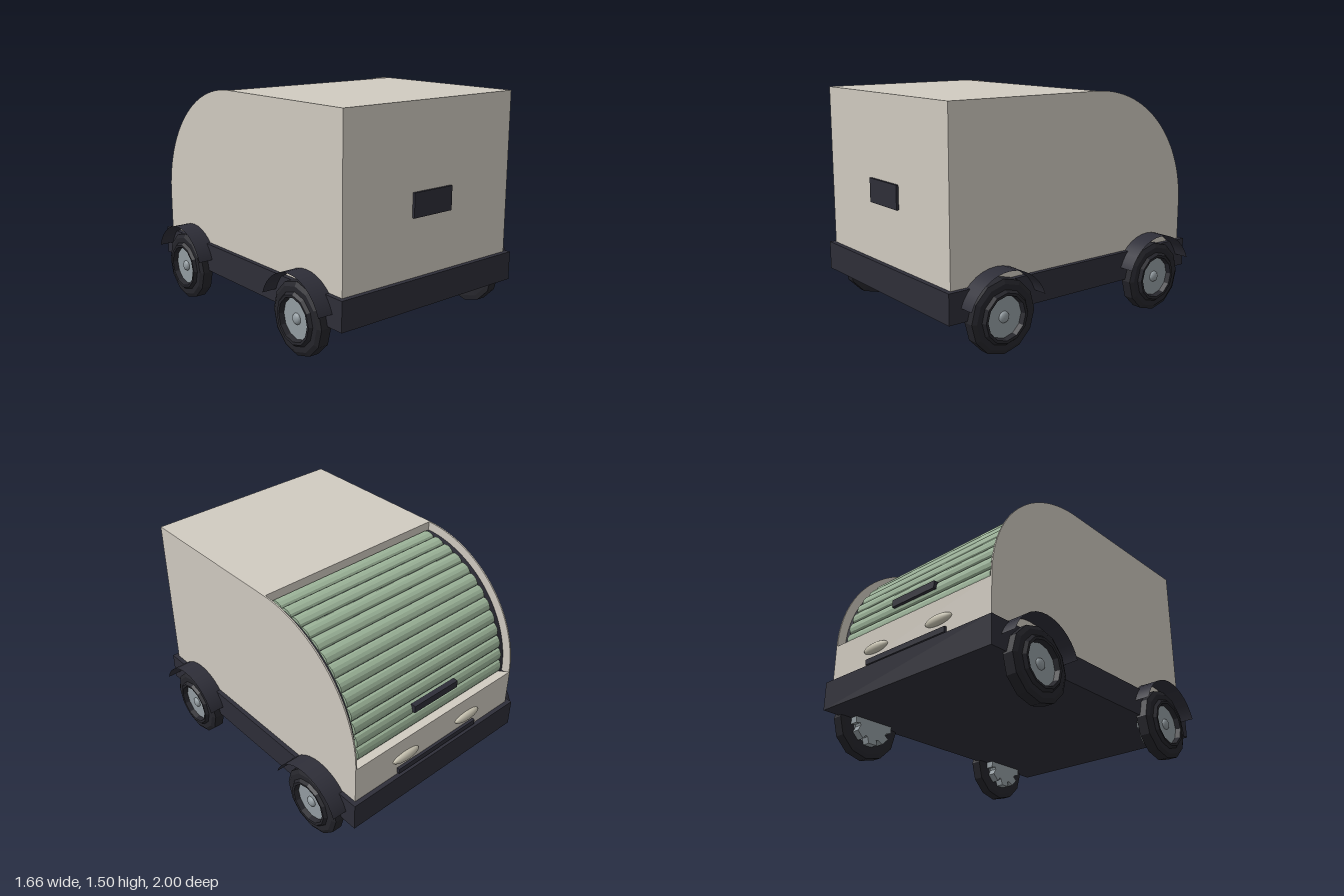
import * as THREE from 'three';

const mat = (name, color, side = THREE.FrontSide) => {
  const m = new THREE.MeshStandardMaterial({ color, side });
  m.name = name;
  return m;
};

export function createModel() {
  const cream = mat('cream', 0xd1cbc1);
  const dark = mat('charcoal', 0x2e2e38, THREE.DoubleSide);
  const tyreMat = mat('tyre black', 0x25252b);
  tyreMat.flatShading = true;
  const green = mat('sage green', 0x9cb499);
  const steel = mat('steel grey', 0x949da2);
  const lampMat = mat('lamp cream', 0xcbc6b4);

  const model = new THREE.Group();
  model.name = 'van';

  const add = (parent, name, geo, material, x = 0, y = 0, z = 0) => {
    const mesh = new THREE.Mesh(geo, material);
    mesh.name = name;
    mesh.position.set(x, y, z);
    parent.add(mesh);
    return mesh;
  };
  // box given by its min and max on each axis
  const box = (name, material, x0, x1, y0, y1, z0, z1) =>
    add(model, name, new THREE.BoxGeometry(x1 - x0, y1 - y0, z1 - z0), material,
      (x0 + x1) / 2, (y0 + y1) / 2, (z0 + z1) / 2);
  // extrude a (z, y) profile across x, from x0 to x1
  const across = (shape, x0, x1, curveSegments = 24) => {
    const g = new THREE.ExtrudeGeometry(shape, { depth: x1 - x0, bevelEnabled: false, curveSegments });
    g.rotateY(-Math.PI / 2);
    return g.translate(x1, 0, 0);
  };

  const CZ = -0.16, CY = 0.70, R = 0.805; // centre and radius of the rolled back

  // side outline with a quarter-round upper back corner
  const outline = (r, front) => {
    const s = new THREE.Shape();
    s.moveTo(front, 0.43);
    s.lineTo(front, CY + r);
    s.lineTo(CZ, CY + r);
    s.absarc(CZ, CY, r, Math.PI / 2, Math.PI, false);
    s.lineTo(CZ - r, 0.43);
    return s;
  };

  // chassis
  box('chassis', dark, -0.73, 0.73, 0.245, 0.435, -0.995, 1);

  // body shell
  for (const s of [-1, 1]) {
    add(model, 'sideWall', across(outline(R, 0.968), -0.005, 0.005, 32), cream, s * 0.695);
  }
  add(model, 'shutterRail', across(outline(0.745, 0.93), -0.69, 0.69), dark);
  box('roof', cream, -0.69, 0.69, 1.44, CY + R, CZ, 0.968);
  box('frontPanel', cream, -0.69, 0.69, 0.43, 1.45, 0.92, 0.968);
  box('backPanel', cream, -0.69, 0.69, 0.43, 0.695, -0.965, -0.955);
  box('backFiller', dark, -0.69, 0.69, 0.43, 0.68, -0.957, -0.9);

  // mitred ledge under the shutter
  const ledge = new THREE.Shape([[-0.69, 0.96], [0.69, 0.96], [0.645, 0.9], [-0.645, 0.9]]
    .map(([x, y]) => new THREE.Vector2(x, y)));
  const ledgeGeo = new THREE.ExtrudeGeometry(ledge, { depth: 0.012, bevelEnabled: false });
  ledgeGeo.rotateX(-Math.PI / 2);
  add(model, 'backLedge', ledgeGeo, cream, 0, 0.683, 0);

  // rolling shutter made of rounded slats
  const slats = 13, pts = [new THREE.Vector2(CZ, CY)];
  for (let i = 0; i < slats; i++) {
    for (const [t, r] of [[0, 0.744], [0.12, 0.757], [0.38, 0.765], [0.62, 0.765], [0.88, 0.757]]) {
      const a = Math.PI / 2 * (1 + (i + t) / slats);
      pts.push(new THREE.Vector2(CZ + r * Math.cos(a), CY + r * Math.sin(a)));
    }
  }
  pts.push(new THREE.Vector2(CZ - 0.744, CY - 0.01));
  add(model, 'shutter', across(new THREE.Shape(pts), -0.645, 0.645), green);
  box('shutterHandle', dark, -0.19, 0.19, 0.82, 0.87, -0.935, -0.88);

  // plates and lamps
  box('frontPlate', dark, -0.16, 0.16, 0.81, 0.965, 0.96, 0.985);
  box('backStrip', dark, -0.35, 0.35, 0.45, 0.487, -0.985, -0.96);
  for (const s of [-1, 1]) {
    const lamp = add(model, 'lamp', new THREE.SphereGeometry(1, 24, 14), lampMat, s * 0.28, 0.555, -0.967);
    lamp.scale.set(0.11, 0.035, 0.03);
  }

  // wheel geometry, axle along x, outer side towards +x
  const tyre = new THREE.LatheGeometry([
    [0.13, 0.705], [0.2, 0.7], [0.232, 0.705], [0.232, 0.775], [0.205, 0.79], [0.17, 0.79],
    [0.155, 0.81], [0.138, 0.808], [0.13, 0.775], [0.13, 0.705],
  ].map(([r, y]) => new THREE.Vector2(r, y)), 12).rotateZ(-Math.PI / 2);
  const rim = new THREE.CylinderGeometry(0.135, 0.135, 0.07, 24).rotateZ(-Math.PI / 2);
  const cap = new THREE.SphereGeometry(0.036, 16, 10);
  // notched inner hub
  const hubPts = [];
  for (let i = 0; i < 8; i++) {
    for (const [o, r] of [[-0.28, 0.15], [0.28, 0.15], [0.3, 0.115], [0.48, 0.115]]) {
      const a = (i + o) * Math.PI / 4;
      hubPts.push(new THREE.Vector2(r * Math.cos(a), r * Math.sin(a)));
    }
  }
  const hubGeo = across(new THREE.Shape(hubPts), 0.65, 0.72);
  const fenderGeo = new THREE.CylinderGeometry(0.29, 0.29, 0.13, 14, 1, true,
    Math.PI / 9, Math.PI * 7 / 9).rotateZ(Math.PI / 2);

  for (const s of [-1, 1]) {
    for (const z of [-0.645, 0.645]) {
      const wheel = new THREE.Group();
      wheel.name = 'wheel';
      wheel.position.set(0, 0.234, z);
      if (s < 0) wheel.rotation.y = Math.PI;
      add(wheel, 'tyre', tyre, tyreMat);
      add(wheel, 'rim', rim, steel, 0.74);
      add(wheel, 'hubCap', cap, steel, 0.775).scale.x = 0.6;
      add(wheel, 'innerHub', hubGeo, steel);
      add(wheel, 'fender', fenderGeo, dark, 0.767);
      model.add(wheel);
    }
  }
  return model;
}
